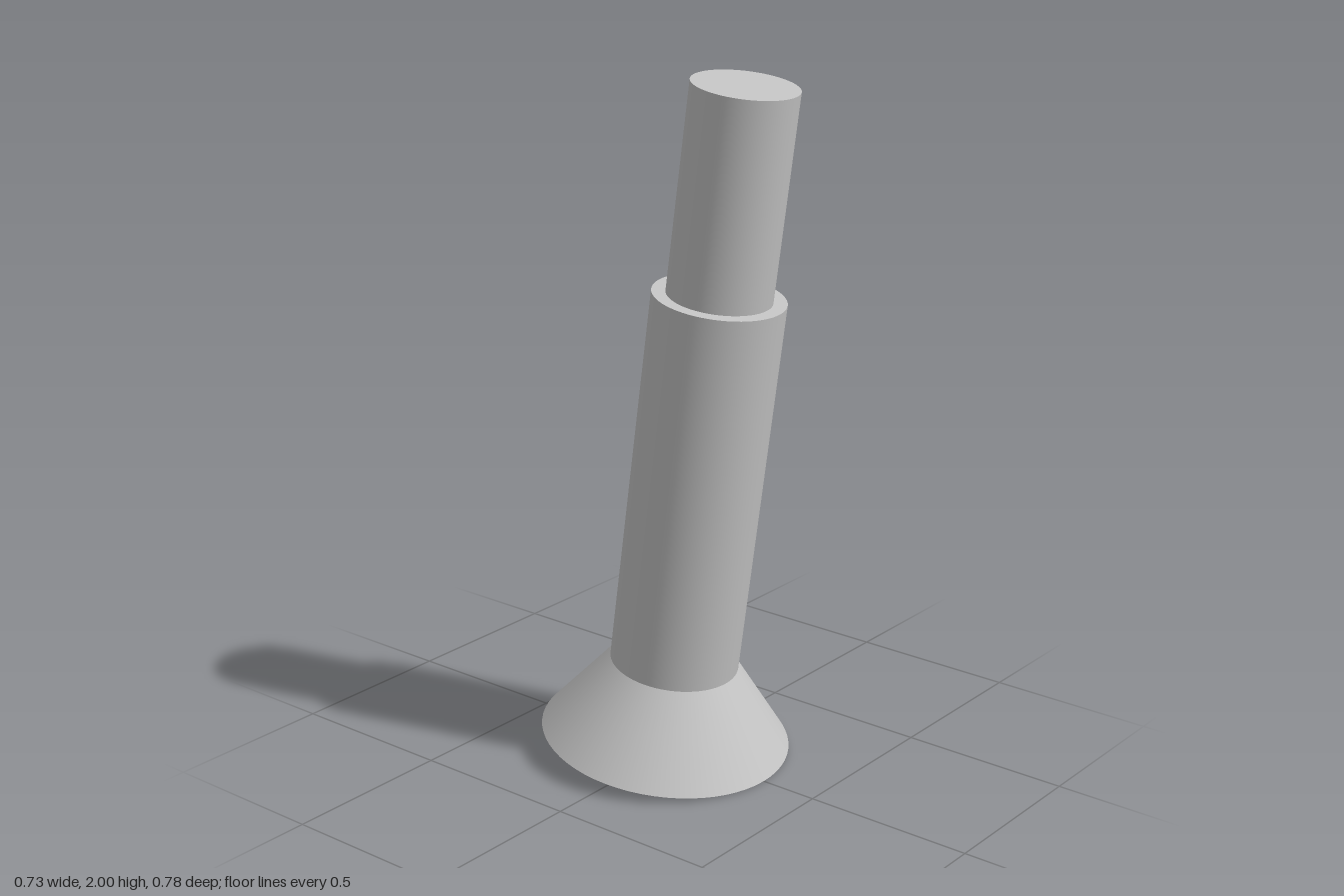
import * as THREE from 'three';

const SEGMENTS = 64;

export function createModel() {
  const model = new THREE.Group();
  model.name = 'steppedPost';
  const grey = new THREE.MeshStandardMaterial({ color: 0xc4c4c4 });
  grey.name = 'grey';

  // All parts share one axis that leans forward, starting at the foot's centre
  const axis = new THREE.Group();
  axis.name = 'leaningAxis';
  axis.position.set(0, 0.0505, -0.03);
  axis.rotation.x = THREE.MathUtils.degToRad(8);
  model.add(axis);

  // A round section between two distances along the axis
  const addSection = (name, from, to, bottomRadius, topRadius) => {
    const geometry = new THREE.CylinderGeometry(topRadius, bottomRadius, to - from, SEGMENTS);
    const mesh = new THREE.Mesh(geometry, grey);
    mesh.name = name;
    mesh.position.y = (from + to) / 2;
    axis.add(mesh);
  };

  addSection('flaredFoot', 0, 0.239, 0.363, 0.186);
  addSection('mainShaft', 0.239, 1.36, 0.186, 0.186);
  addSection('upperShaft', 1.36, 1.948, 0.147, 0.147);

  return model;
}
